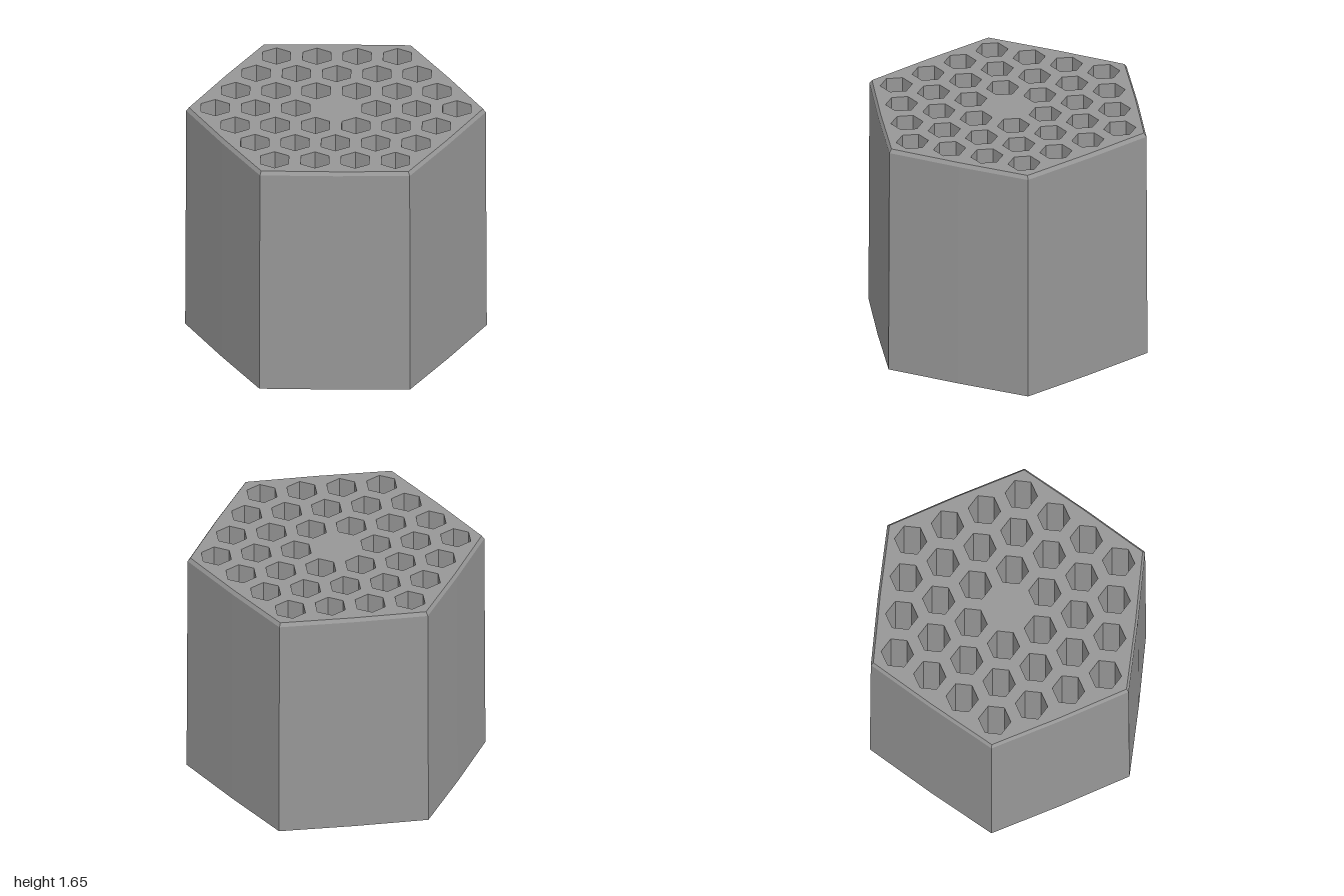
import * as THREE from 'three';

const HEIGHT = 1.65, BEVEL_Y = 1.625, TOP_R = 0.975;
const HOLE_R = 0.108, PITCH = 0.267;
const BULGE = 0.873; // mid-side radius relative to the corners (flat would be 0.866)

// Corners of a hexagonal cell, wound clockwise
function cellPoints(cx, cy) {
  return Array.from({ length: 6 }, (_, i) => {
    const a = -i * Math.PI / 3;
    return new THREE.Vector2(cx + HOLE_R * Math.cos(a), cy + HOLE_R * Math.sin(a));
  });
}

// Outline of the body: a hexagon whose sides bow out very slightly
function bodyPoints(r) {
  return Array.from({ length: 12 }, (_, i) => {
    const a = Math.PI / 2 + i * Math.PI / 6;
    const ri = i % 2 ? r * BULGE : r;
    return new THREE.Vector2(ri * Math.cos(a), ri * Math.sin(a));
  });
}

// Open band of the body between two radii, with the same bowed sides
function bodyBand(top, bottom, h) {
  const geometry = new THREE.CylinderGeometry(top, bottom, h, 12, 1, true);
  const p = geometry.attributes.position;
  for (let i = 0; i < p.count; i++) {
    const k = (i % 13) % 2 ? BULGE : 1;
    p.setXYZ(i, p.getX(i) * k, p.getY(i), p.getZ(i) * k);
  }
  return geometry;
}

// Three rings of cells around an empty middle
function cellCentres() {
  const cells = [];
  for (let q = -3; q <= 3; q++) {
    for (let r = -3; r <= 3; r++) {
      if (Math.abs(q + r) > 3 || (q === 0 && r === 0)) continue;
      cells.push([q * PITCH * Math.sqrt(3) / 2, (r + q / 2) * PITCH]);
    }
  }
  return cells;
}

export function createModel() {
  const group = new THREE.Group();
  const material = new THREE.MeshStandardMaterial({
    color: 0x979797, flatShading: true, side: THREE.DoubleSide,
  });
  const add = (name, geometry, x, y, z, parent = group) => {
    const mesh = new THREE.Mesh(geometry, material);
    mesh.name = name;
    mesh.position.set(x, y, z);
    parent.add(mesh);
  };

  // Slightly tapered outer wall, open underneath, with a bevelled upper edge
  add('outerWall', bodyBand(0.993, 1, BEVEL_Y), 0, BEVEL_Y / 2, 0);
  add('topBevel', bodyBand(TOP_R, 0.993, HEIGHT - BEVEL_Y), 0, (HEIGHT + BEVEL_Y) / 2, 0);

  // Top plate pierced by the honeycomb
  const plate = new THREE.Shape(bodyPoints(TOP_R));
  const cells = cellCentres();
  for (const [x, z] of cells) plate.holes.push(new THREE.Path(cellPoints(x, -z)));
  add('topPlate', new THREE.ShapeGeometry(plate).rotateX(-Math.PI / 2), 0, HEIGHT, 0);

  // Thin hexagonal tubes hanging from the plate down to the open base
  const tubes = new THREE.Group();
  tubes.name = 'honeycombTubes';
  group.add(tubes);
  const tube = new THREE.CylinderGeometry(HOLE_R, HOLE_R, HEIGHT, 6, 1, true, Math.PI / 2);
  for (const [x, z] of cells) add('tube', tube, x, HEIGHT / 2, z, tubes);

  return group;
}
